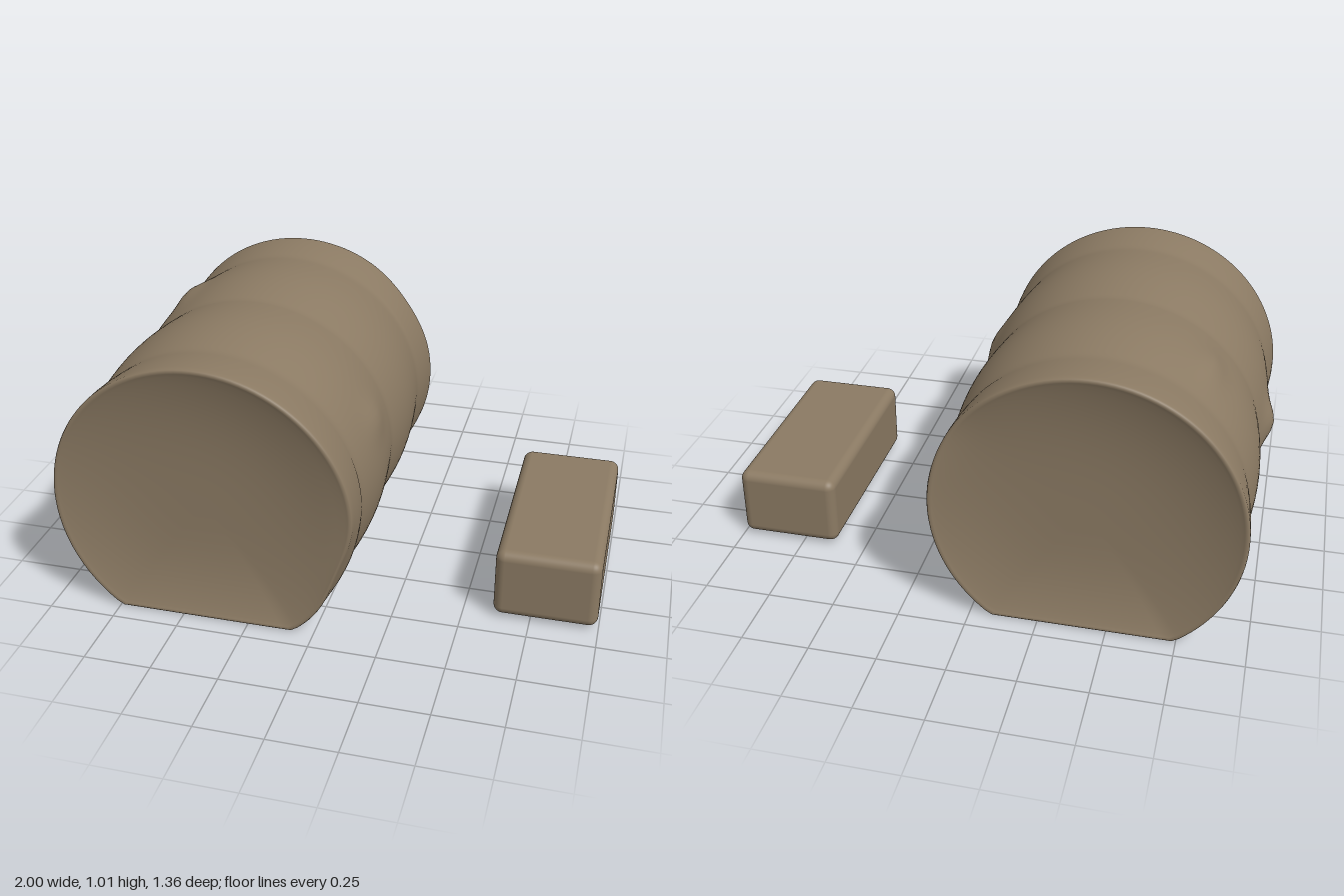
import * as THREE from 'three';
import { RoundedBoxGeometry } from 'three/addons/geometries/RoundedBoxGeometry.js';

const SEGMENTS = 120;
const RADIUS = 0.56;
const HALF = 0.68;

// radius of the drum along its length: flared rims, two bellied hoops, three grooves
function hullRadius(z) {
  const a = Math.abs(z);
  if (a > 0.48) return 0.542 + 0.018 * Math.sin(((a - 0.48) / 0.2) * Math.PI / 2);
  return 0.542 + 0.02 * Math.sin((a / 0.48) * Math.PI);
}

const bump = (d, width) => Math.exp(-((d / width) ** 2));
const angleGap = (a, b) => Math.atan2(Math.sin(a - b), Math.cos(a - b));

// drum lying along z, flattened underneath, with dished ends and a few dents
function drumGeometry() {
  const dish = [];
  for (let i = 1; i <= 16; i++) {
    const t = i / 16;
    dish.push([t * 0.53, 0.62 + 0.052 * t ** 3]);
  }
  dish.push([0.542, 0.677], [0.55, HALF], [0.557, 0.677]);
  const rows = [...dish];
  for (let i = 0; i <= 66; i++) {
    const z = 0.67 - (1.34 * i) / 66;
    rows.push([hullRadius(z), z]);
  }
  for (const [r, z] of [...dish].reverse()) rows.push([r, -z]);

  const points = [0, 0, 0.62];
  for (const [r, z] of rows) {
    for (let i = 0; i < SEGMENTS; i++) {
      const t = (i / SEGMENTS) * Math.PI * 2;
      const down = Math.max(-Math.sin(t), 0.001);
      let radius = r * Math.min(1, 0.45 / (RADIUS * down));
      const rim = r / RADIUS;
      const edge = rim ** 8;
      // knocks on the hull and rims
      radius += 0.032 * edge * bump(angleGap(t, Math.PI), 0.13) * bump(z - 0.17, 0.09);
      radius += 0.018 * edge * bump(angleGap(t, 2.26), 0.1) * bump(z + 0.25, 0.12);
      radius += 0.014 * edge * bump(angleGap(t, 0.38), 0.12) * bump(z - 0.2, 0.1);
      radius -= 0.03 * edge * bump(angleGap(t, -0.35), 0.3) * bump(z - 0.68, 0.07);
      let depth = z;
      if (z > 0.5) depth -= 0.018 * edge * bump(angleGap(t, 0.05), 0.55);
      if (z < -0.5) depth += 0.022 * edge * bump(angleGap(t, 0.6), 0.3);
      points.push(radius * Math.cos(t), radius * Math.sin(t), depth);
    }
  }
  points.push(0, 0, -0.62);

  const index = [];
  const last = points.length / 3 - 1;
  const at = (row, i) => 1 + row * SEGMENTS + (i % SEGMENTS);
  for (let i = 0; i < SEGMENTS; i++) {
    index.push(0, at(0, i), at(0, i + 1));
    for (let row = 0; row < rows.length - 1; row++) {
      index.push(at(row, i), at(row + 1, i), at(row, i + 1));
      index.push(at(row + 1, i), at(row + 1, i + 1), at(row, i + 1));
    }
    index.push(at(rows.length - 1, i), last, at(rows.length - 1, i + 1));
  }
  const geometry = new THREE.BufferGeometry();
  geometry.setAttribute('position', new THREE.Float32BufferAttribute(points, 3));
  geometry.setIndex(index);
  geometry.computeVertexNormals();
  return geometry;
}

export function createModel() {
  const group = new THREE.Group();
  const clay = new THREE.MeshStandardMaterial({ name: 'brown clay', color: 0x8b7a63 });

  const drum = new THREE.Mesh(drumGeometry(), clay);
  drum.name = 'drum';
  drum.position.set(-0.41, 0.458, 0);
  group.add(drum);

  // small rounded block beside the drum
  const block = new THREE.Mesh(new RoundedBoxGeometry(0.384, 0.272, 0.812, 5, 0.035), clay);
  block.name = 'block';
  block.position.set(0.803, 0.153, 0.005);
  group.add(block);

  return group;
}
